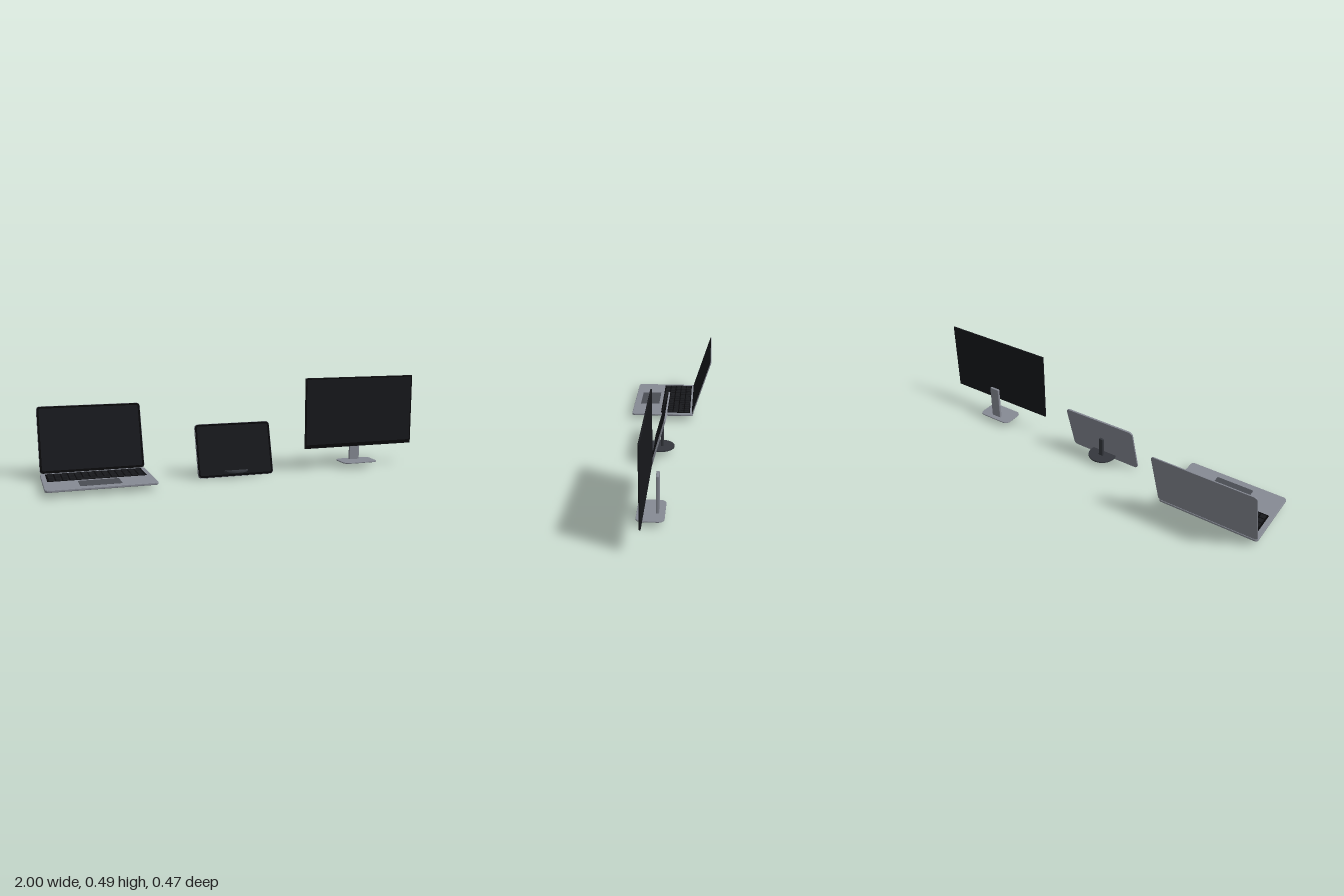
import * as THREE from 'three';

const mat = (color) => new THREE.MeshStandardMaterial({ color });
const silver = mat(0x868a94);
const black = mat(0x08080a);
const glass = mat(0x17181c);
const dark = mat(0x34373d);
const padGrey = mat(0x4a4d54);

// Rounded rectangular plate centred on the origin, facing +z, with softened edges
function plate(name, w, h, t, r, material, bevel = 0) {
  const x = w / 2 - bevel, y = h / 2 - bevel;
  const c = Math.max(r - bevel, 0.0005);
  const s = new THREE.Shape();
  s.moveTo(-x + c, -y);
  s.lineTo(x - c, -y);
  s.absarc(x - c, -y + c, c, -Math.PI / 2, 0);
  s.absarc(x - c, y - c, c, 0, Math.PI / 2);
  s.absarc(-x + c, y - c, c, Math.PI / 2, Math.PI);
  s.absarc(-x + c, -y + c, c, Math.PI, Math.PI * 1.5);
  const depth = t - 2 * bevel;
  const geo = new THREE.ExtrudeGeometry(s, {
    depth, curveSegments: 6, bevelEnabled: bevel > 0,
    bevelThickness: bevel, bevelSize: bevel, bevelSegments: 2,
  });
  geo.translate(0, 0, -depth / 2);
  const mesh = new THREE.Mesh(geo, material);
  mesh.name = name;
  return mesh;
}

// Plate lying flat, given by its bottom and top heights
function flatPlate(name, w, d, y0, y1, r, material, bevel, x, z) {
  const m = plate(name, w, d, y1 - y0, r, material, bevel);
  m.rotation.x = -Math.PI / 2;
  m.position.set(x, (y0 + y1) / 2, z);
  return m;
}

// Shell with a black front bezel and an inset display
function display(name, w, h, t, r, shell, border, chin) {
  const g = new THREE.Group();
  g.name = name;
  const body = plate('shell', w, h, t - 0.001, r, shell, 0.0012);
  const bezel = plate('bezel', w - 0.004, h - 0.004, 0.001, Math.max(r - 0.002, 0.001), black);
  bezel.position.z = t / 2 - 0.0005;
  const screen = plate('screen', w - 2 * border, h - border - chin, 0.0006, r * 0.5, glass);
  screen.position.set(0, (chin - border) / 2, t / 2 + 0.0002);
  g.add(body, bezel, screen);
  return g;
}

function createLaptop() {
  const g = new THREE.Group();
  g.name = 'laptop';
  g.position.x = -0.735;
  g.add(flatPlate('base', 0.53, 0.363, 0.027, 0.039, 0.018, silver, 0.003, 0, 0.0525));
  g.add(flatPlate('keyboardBed', 0.482, 0.172, 0.038, 0.0394, 0.006, black, 0, 0, -0.023));
  g.add(flatPlate('trackpad', 0.198, 0.112, 0.038, 0.0395, 0.004, padGrey, 0, -0.002, 0.139));

  // Five key rows, the last one with a space bar
  const keys = new THREE.Group();
  keys.name = 'keys';
  const columns = 14, pitch = 0.0336;
  for (let row = 0; row < 5; row++) {
    const z = -0.09 + row * 0.033;
    for (let col = 0; col < columns; col++) {
      const isSpace = row === 4 && col >= 4 && col <= 8;
      if (isSpace && col !== 6) continue;
      const w = isSpace ? pitch * 5 - 0.006 : pitch - 0.006;
      const x = (col - (columns - 1) / 2) * pitch;
      keys.add(flatPlate('key', w, 0.027, 0.039, 0.0412, 0.003, glass, 0, x, z));
    }
  }
  g.add(keys);

  // Lid leaning back from the hinge line
  const hinge = new THREE.Group();
  hinge.name = 'lidHinge';
  hinge.position.set(0, 0.038, -0.123);
  hinge.rotation.x = -0.311;
  const lid = display('lid', 0.53, 0.345, 0.007, 0.018, silver, 0.012, 0.014);
  lid.position.y = 0.1725;
  hinge.add(lid);
  g.add(hinge);
  return g;
}

function createTablet() {
  const g = new THREE.Group();
  g.name = 'tablet';
  g.position.x = -0.03;
  const body = display('tabletBody', 0.407, 0.278, 0.0105, 0.02, silver, 0.012, 0.012);
  body.position.set(0, 0.136, 0.0345);
  body.rotation.x = -0.272;

  // Round foot and short post
  const foot = new THREE.Mesh(new THREE.CylinderGeometry(0.074, 0.074, 0.007, 48), dark);
  foot.name = 'standFoot';
  foot.position.set(0, 0.0305, 0.034);
  const post = plate('standPost', 0.026, 0.109, 0.014, 0.005, dark, 0.003);
  post.position.set(0, 0.0845, 0.024);
  g.add(body, foot, post);
  return g;
}

function createMonitor() {
  const g = new THREE.Group();
  g.name = 'monitor';
  g.position.x = 0.68;
  const panel = display('panel', 0.638, 0.378, 0.008, 0.003, glass, 0.008, 0.02);
  panel.position.set(0, 0.306, 0.0515);
  const post = plate('standPost', 0.058, 0.187, 0.014, 0.005, silver, 0.003);
  post.position.y = 0.1235;
  g.add(panel, post);
  g.add(flatPlate('standFoot', 0.2, 0.128, 0.028, 0.034, 0.03, silver, 0.0015, 0, 0.03));
  return g;
}

export function createModel() {
  const model = new THREE.Group();
  model.name = 'deviceSet';
  model.add(createLaptop(), createTablet(), createMonitor());
  return model;
}
